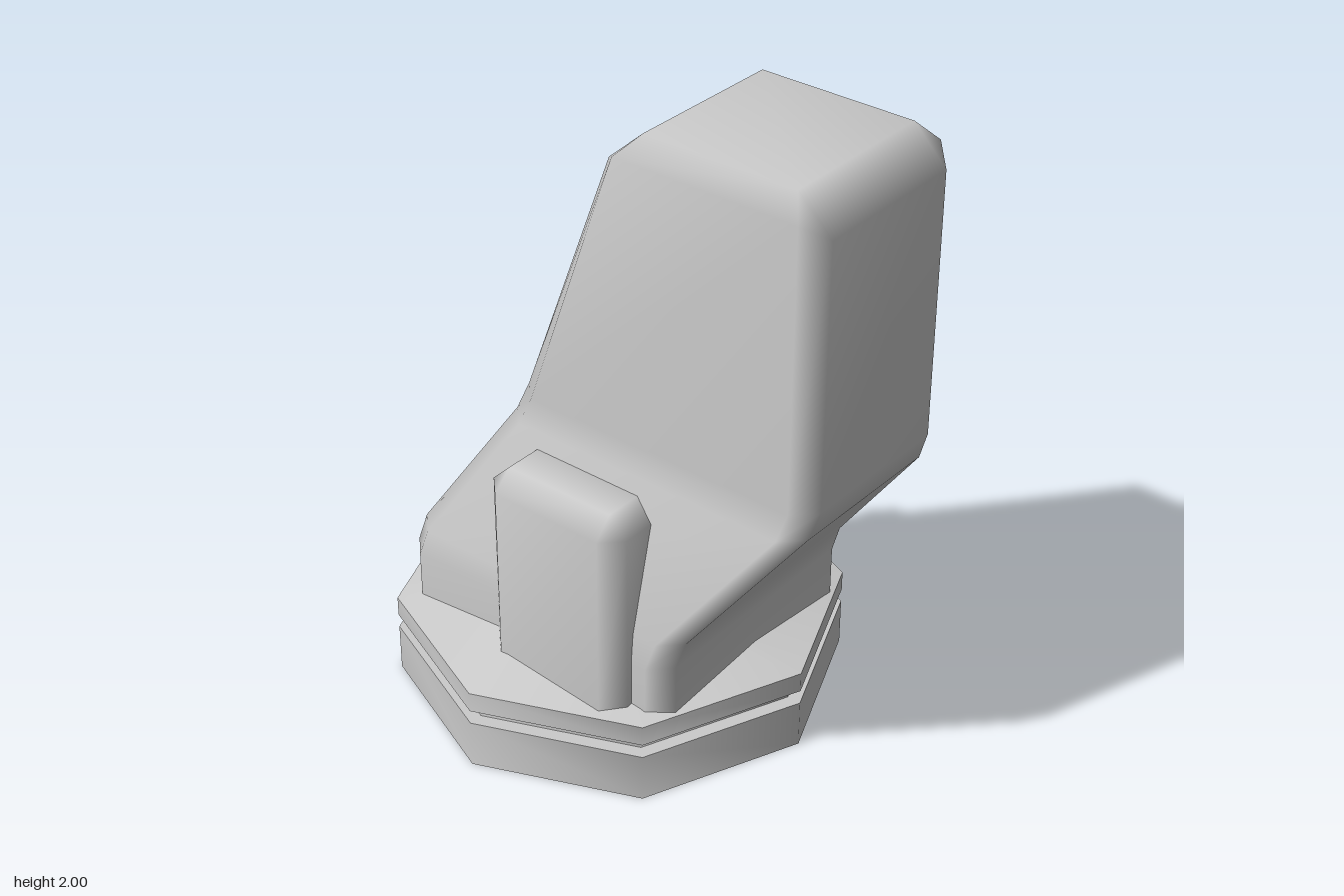
import * as THREE from 'three';
import { mergeVertices, toCreasedNormals } from 'three/addons/utils/BufferGeometryUtils.js';

const material = new THREE.MeshStandardMaterial({ color: 0xcccccc, side: THREE.DoubleSide });

// Rectangle with cut corners; ySide lets the x sides sit at another height than the z ends.
function ring(x0, x1, z0, z1, cut, y, ySide = y) {
  return [
    [x0 + cut, y, z1], [x1 - cut, y, z1], [x1, ySide, z1 - cut], [x1, ySide, z0 + cut],
    [x1 - cut, y, z0], [x0 + cut, y, z0], [x0, ySide, z0 + cut], [x0, ySide, z1 - cut],
  ];
}

// Smooth skin over stacked rings, open below and capped on top.
function loft(rings) {
  const n = rings[0].length;
  const positions = rings.flat(2);
  const index = [];
  for (let r = 0; r < rings.length - 1; r++) {
    for (let k = 0; k < n; k++) {
      const a = r * n + k, b = r * n + (k + 1) % n;
      index.push(a, b, b + n, a, b + n, a + n);
    }
  }
  const top = (rings.length - 1) * n;
  for (let k = 1; k < n - 1; k++) index.push(top, top + k, top + k + 1);
  let geometry = new THREE.BufferGeometry();
  geometry.setAttribute('position', new THREE.Float32BufferAttribute(positions, 3));
  geometry.setIndex(index);
  geometry = mergeVertices(geometry);
  geometry.computeVertexNormals();
  return geometry;
}

function addMesh(group, name, geometry) {
  const mesh = new THREE.Mesh(geometry, material);
  mesh.name = name;
  group.add(mesh);
  return mesh;
}

export function createModel() {
  const model = new THREE.Group();
  model.name = 'cowlOnCollar';

  // Hollow eight-sided collar with a groove and a shallow conical shoulder
  const profile = [
    [0.69, 0], [0.69, 0.155], [0.645, 0.155], [0.645, 0.2],
    [0.69, 0.2], [0.69, 0.265], [0.25, 0.365],
  ].map(([r, y]) => new THREE.Vector2(r, y));
  const collar = addMesh(model, 'collar', toCreasedNormals(new THREE.LatheGeometry(profile, 8), 0.9));
  collar.position.z = -0.11;

  // Leaning body: half width, back z, front z, height
  const sections = [
    [0.44, -0.6, 0.41, 0.26],
    [0.44, -0.6, 0.41, 0.43],
    [0.432, -0.57, 0.44, 0.525],
    [0.325, -0.28, 0.77, 0.975],
    [0.315, -0.24, 0.8, 1.07],
  ].map(([w, back, front, y]) => ring(-w, w, back, front, 0.063, y));
  sections.push(ring(-0.315, 0.315, 0.07, 0.8, 0.063, 1.893, 1.937));
  sections.push(ring(-0.255, 0.255, 0.19, 0.69, 0, 2));
  addMesh(model, 'body', loft(sections));

  // Blocks on both flanks
  for (const side of [1, -1]) {
    const [x0, x1] = side > 0 ? [0.25, 0.517] : [-0.517, -0.25];
    addMesh(model, side > 0 ? 'leftBlock' : 'rightBlock', loft([
      ring(x0, x1, -0.2, 0.297, 0.06, 0.26),
      ring(x0, x1, -0.2, 0.297, 0.06, 0.863),
      ring(x0 + 0.06, x1 - 0.06, -0.138, 0.235, 0, 0.925),
    ]));
  }

  return model;
}
